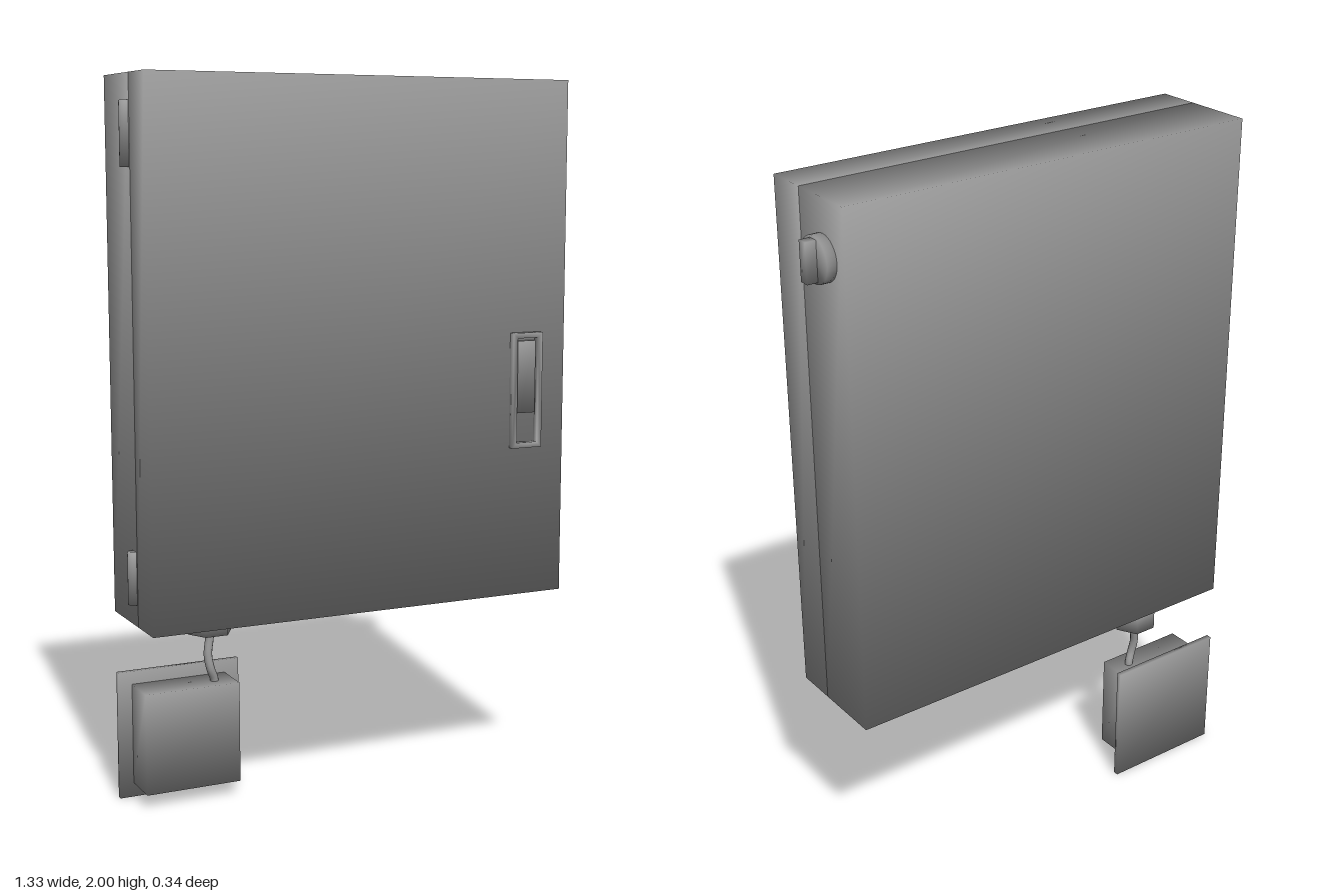
import * as THREE from 'three';

const material = new THREE.MeshStandardMaterial({ color: 0x999999 });

// Soft shading: corners that share a position share the mean of their normals
function soften(geometry) {
  const { position, normal } = geometry.attributes;
  const sums = new Map();
  const key = (i) => [position.getX(i), position.getY(i), position.getZ(i)]
    .map((v) => Math.round(v * 1e4)).join();
  for (let i = 0; i < position.count; i++) {
    const k = key(i);
    if (!sums.has(k)) sums.set(k, new THREE.Vector3());
    sums.get(k).add(new THREE.Vector3().fromBufferAttribute(normal, i));
  }
  for (let i = 0; i < position.count; i++) {
    const n = sums.get(key(i)).normalize();
    normal.setXYZ(i, n.x, n.y, n.z);
  }
  return geometry;
}

export function createModel() {
  const model = new THREE.Group();

  const add = (name, geometry, x = 0, y = 0, z = 0, parent = model) => {
    const mesh = new THREE.Mesh(soften(geometry), material);
    mesh.name = name;
    mesh.position.set(x, y, z);
    parent.add(mesh);
    return mesh;
  };

  // Box given by its minimum and maximum on each axis
  const box = (name, [x0, x1], [y0, y1], [z0, z1], parent) =>
    add(name, new THREE.BoxGeometry(x1 - x0, y1 - y0, z1 - z0),
      (x0 + x1) / 2, (y0 + y1) / 2, (z0 + z1) / 2, parent);

  const group = (name) => {
    const g = new THREE.Group();
    g.name = name;
    model.add(g);
    return g;
  };

  // Cabinet body and door, meeting at a seam
  box('cabinetBody', [-0.645, 0.607], [0.54, 2], [-0.168, 0.03]);
  box('door', [-0.645, 0.607], [0.54, 2], [0.03, 0.148]);

  // Hinge barrels on the -x edge
  for (const [y0, y1] of [[0.6, 0.745], [1.76, 1.93]]) {
    add('hinge', new THREE.CylinderGeometry(0.016, 0.016, y1 - y0, 16), -0.649, (y0 + y1) / 2, 0.01);
  }

  // Door latch: frame with a recess and a pull handle inside it
  const latch = group('latch');
  const rect = (shape, x0, x1, y0, y1) =>
    shape.moveTo(x0, y0).lineTo(x1, y0).lineTo(x1, y1).lineTo(x0, y1).closePath();
  const frame = rect(new THREE.Shape(), 0.43, 0.525, 0.97, 1.298);
  frame.holes.push(rect(new THREE.Path(), 0.444, 0.51, 0.985, 1.283));
  add('latchFrame', new THREE.ExtrudeGeometry(frame, { depth: 0.02, bevelEnabled: false }), 0, 0, 0.148, latch);
  box('latchHandle', [0.45, 0.504], [1.07, 1.275], [0.148, 0.164], latch);

  // Rotary switch on the side
  const knob = group('rotarySwitch');
  const disc = add('switchDisc', new THREE.CylinderGeometry(0.061, 0.061, 0.027, 32), 0.6205, 1.85, -0.073, knob);
  disc.rotation.z = Math.PI / 2;
  box('switchGrip', [0.63, 0.664], [1.797, 1.903], [-0.087, -0.059], knob);

  // Hexagonal cable gland under the cabinet
  const gland = add('cableGland', new THREE.CylinderGeometry(0.065, 0.065, 0.07, 6), -0.395, 0.505, -0.09);
  gland.rotation.y = Math.PI / 6;

  // Slack cable running down to the small box
  const path = new THREE.CatmullRomCurve3([
    [-0.392, 0.49, -0.092], [-0.394, 0.455, -0.093], [-0.402, 0.405, -0.087],
    [-0.396, 0.365, -0.083], [-0.384, 0.335, -0.088], [-0.382, 0.315, -0.09],
  ].map((p) => new THREE.Vector3(...p)));
  add('cable', new THREE.TubeGeometry(path, 24, 0.012, 10));

  // Small junction box on its mounting plate
  const junction = group('junctionBox');
  box('junctionHousing', [-0.605, -0.327], [0.04, 0.328], [-0.153, -0.038], junction);
  box('mountingPlate', [-0.645, -0.284], [0, 0.365], [-0.168, -0.153], junction);

  return model;
}
